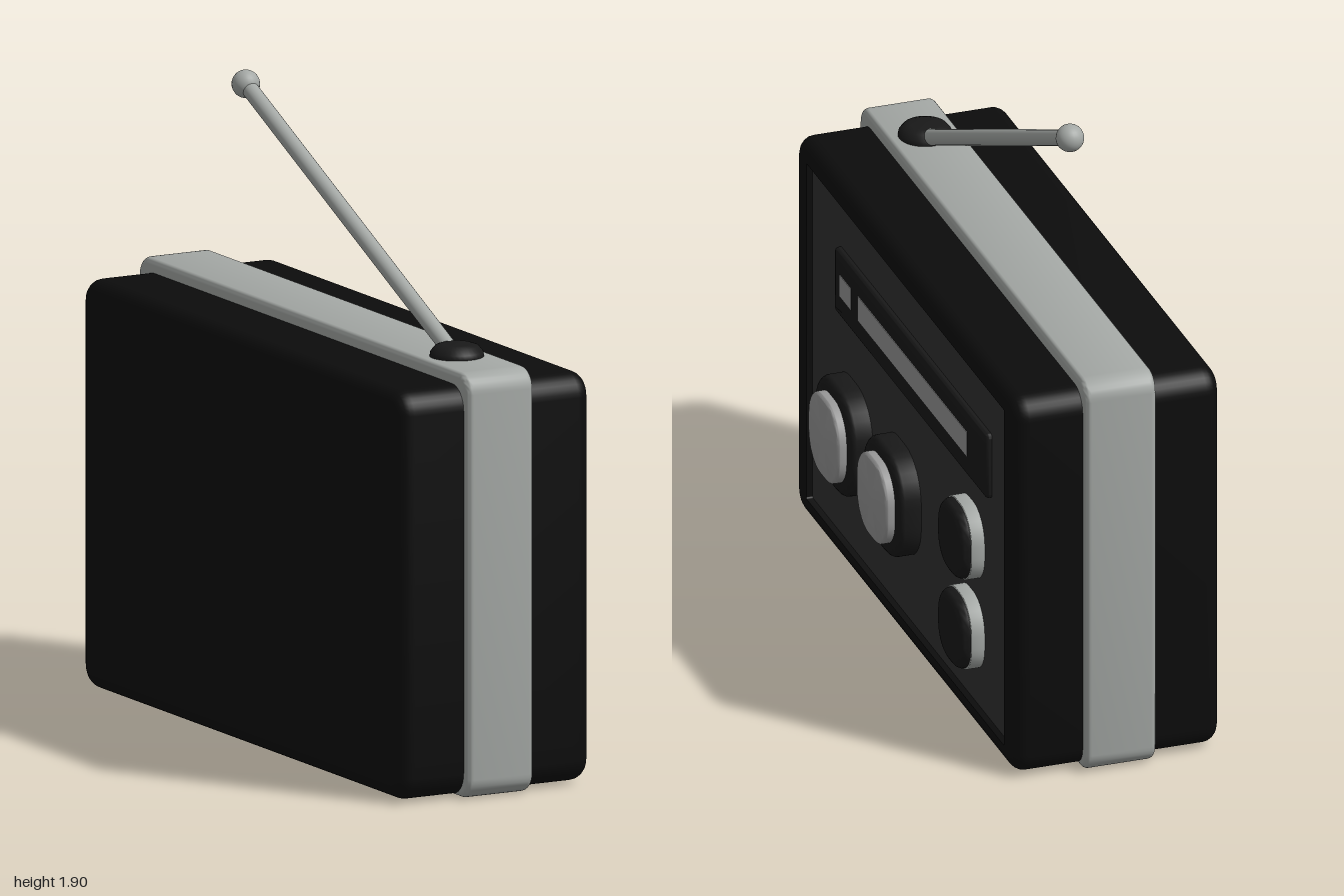
import * as THREE from 'three';
import { toCreasedNormals } from 'three/addons/utils/BufferGeometryUtils.js';

const paint = (color) => new THREE.MeshStandardMaterial({ color });
const black = paint(0x0c0c0c), dark = paint(0x191919), charcoal = paint(0x323232);
const silver = paint(0xa4a8a5), grey = paint(0x999999);

// Rounded rectangle in the z-y plane, counter-clockwise seen from +x
function ring(x, halfZ, halfY, r, steps = 8) {
  const pts = [];
  const corners = [[1, 1], [-1, 1], [-1, -1], [1, -1]];
  corners.forEach(([sx, sy], q) => {
    for (let i = 0; i <= steps; i++) {
      const a = (q + i / steps) * Math.PI / 2;
      const u = sx * (halfZ - r) + r * Math.cos(a);
      const v = sy * (halfY - r) + r * Math.sin(a);
      pts.push([x, v, -u]);
    }
  });
  return pts;
}

// Steps [x, inset] of a slab from x0 to x1 with rounded rims at the back and front
function rounded(x0, x1, back, front = back, steps = 5) {
  const out = [];
  for (let i = 0; i <= steps; i++) {
    const a = i / steps * Math.PI / 2;
    out.push([x0 + back * (1 - Math.sin(a)), back * (1 - Math.cos(a))]);
  }
  out.reverse();
  const start = out.reverse().map(([x, d]) => [x, d]).reverse();
  const steps2 = [...start].sort((p, q) => p[0] - q[0]);
  for (let i = 0; i <= steps; i++) {
    const a = i / steps * Math.PI / 2;
    steps2.push([x1 - front * (1 - Math.sin(a)), front * (1 - Math.cos(a))]);
  }
  return steps2;
}

// Loft rounded rectangles along x; each step is [x, inset in y, inset in z]
function loft(steps, halfZ, halfY, r) {
  const rings = steps.map(([x, dy, dz = dy]) =>
    ring(x, halfZ - dz, halfY - dy, Math.max(r - dy, 0.004)));
  const n = rings[0].length, last = (rings.length - 1) * n;
  const pos = rings.flat(2), index = [];
  for (let i = 0; i < rings.length - 1; i++) {
    for (let j = 0; j < n; j++) {
      const k = (j + 1) % n, a = i * n, b = a + n;
      index.push(a + j, a + k, b + k, a + j, b + k, b + j);
    }
  }
  const backCentre = rings.length * n, frontCentre = backCentre + 1;
  pos.push(steps[0][0], 0, 0, steps[steps.length - 1][0], 0, 0);
  for (let j = 0; j < n; j++) {
    const k = (j + 1) % n;
    index.push(backCentre, k, j, frontCentre, last + j, last + k);
  }
  const geo = new THREE.BufferGeometry();
  geo.setAttribute('position', new THREE.Float32BufferAttribute(pos, 3));
  geo.setIndex(index);
  return toCreasedNormals(geo, 0.65);
}

export function createModel() {
  const model = new THREE.Group();
  model.name = 'portableRadio';
  const add = (name, geo, mat, x, y, z, parent = model) => {
    const mesh = new THREE.Mesh(geo, mat);
    mesh.name = name;
    mesh.position.set(x, y, z);
    parent.add(mesh);
    return mesh;
  };

  // Case with a shallow recess in its face
  const caseSteps = rounded(-0.36, 0.28, 0.045);
  caseSteps.push([0.28, 0.065, 0.1], [0.252, 0.065, 0.1]);
  add('case', loft(caseSteps, 0.97, 0.613, 0.07), black, 0, 0.62, 0);

  // Band wrapped around the middle
  add('band', loft(rounded(-0.15, 0.07, 0.018), 1, 0.637, 0.06), silver, 0, 0.637, 0);

  // Face panel and tuning display
  add('facePanel', new THREE.BoxGeometry(0.02, 1.096, 1.738), charcoal, 0.25, 0.62, 0.003);
  add('displayFrame', loft(rounded(0.25, 0.278, 0.002, 0.01), 0.67, 0.105, 0.015), dark, 0, 0.905, -0.04);
  add('bandWindow', new THREE.BoxGeometry(0.01, 0.07, 0.1), grey, 0.275, 0.903, 0.53);
  add('tuningScale', new THREE.BoxGeometry(0.01, 0.08, 0.96), grey, 0.275, 0.903, -0.06);

  // Large dials with a raised cap
  for (const z of [0.51, 0.085]) {
    const dial = new THREE.Group();
    dial.name = 'dial';
    dial.position.set(0, 0.45, z);
    add('dialBase', loft(rounded(0.25, 0.327, 0.003, 0.025), 0.172, 0.172, 0.14), dark, 0, 0, 0, dial);
    add('dialCap', loft(rounded(0.31, 0.357, 0.003, 0.01), 0.13, 0.13, 0.105), grey, 0, 0, 0, dial);
    model.add(dial);
  }

  // Small buttons with a bright collar
  for (const y of [0.595, 0.302]) {
    const button = new THREE.Group();
    button.name = 'button';
    button.position.set(0, y, -0.525);
    add('buttonCollar', loft(rounded(0.25, 0.302, 0.003), 0.12, 0.12, 0.1), silver, 0, 0, 0, button);
    add('buttonCap', loft(rounded(0.295, 0.33, 0.002, 0.028), 0.116, 0.116, 0.098), dark, 0, 0, 0, button);
    model.add(button);
  }

  // Aerial: domed foot, slanted rod, ball tip
  const foot = new THREE.Vector3(-0.04, 1.28, 0.70), tip = new THREE.Vector3(-0.04, 1.855, -0.545);
  const footProfile = [[0, 0.045], [0.045, 0.043], [0.065, 0.036], [0.078, 0.02], [0.08, 0.008], [0.08, -0.02]]
    .reverse().map(([r, y]) => new THREE.Vector2(r, y));
  add('aerialFoot', new THREE.LatheGeometry(footProfile, 32), dark, -0.04, 1.268, 0.73);
  const along = tip.clone().sub(foot);
  const mid = foot.clone().add(tip).multiplyScalar(0.5);
  const rod = add('aerialRod', new THREE.CylinderGeometry(0.025, 0.025, along.length(), 20), silver, mid.x, mid.y, mid.z);
  rod.quaternion.setFromUnitVectors(new THREE.Vector3(0, 1, 0), along.normalize());
  add('aerialTip', new THREE.SphereGeometry(0.042, 24, 16), silver, tip.x, tip.y, tip.z);

  return model;
}
